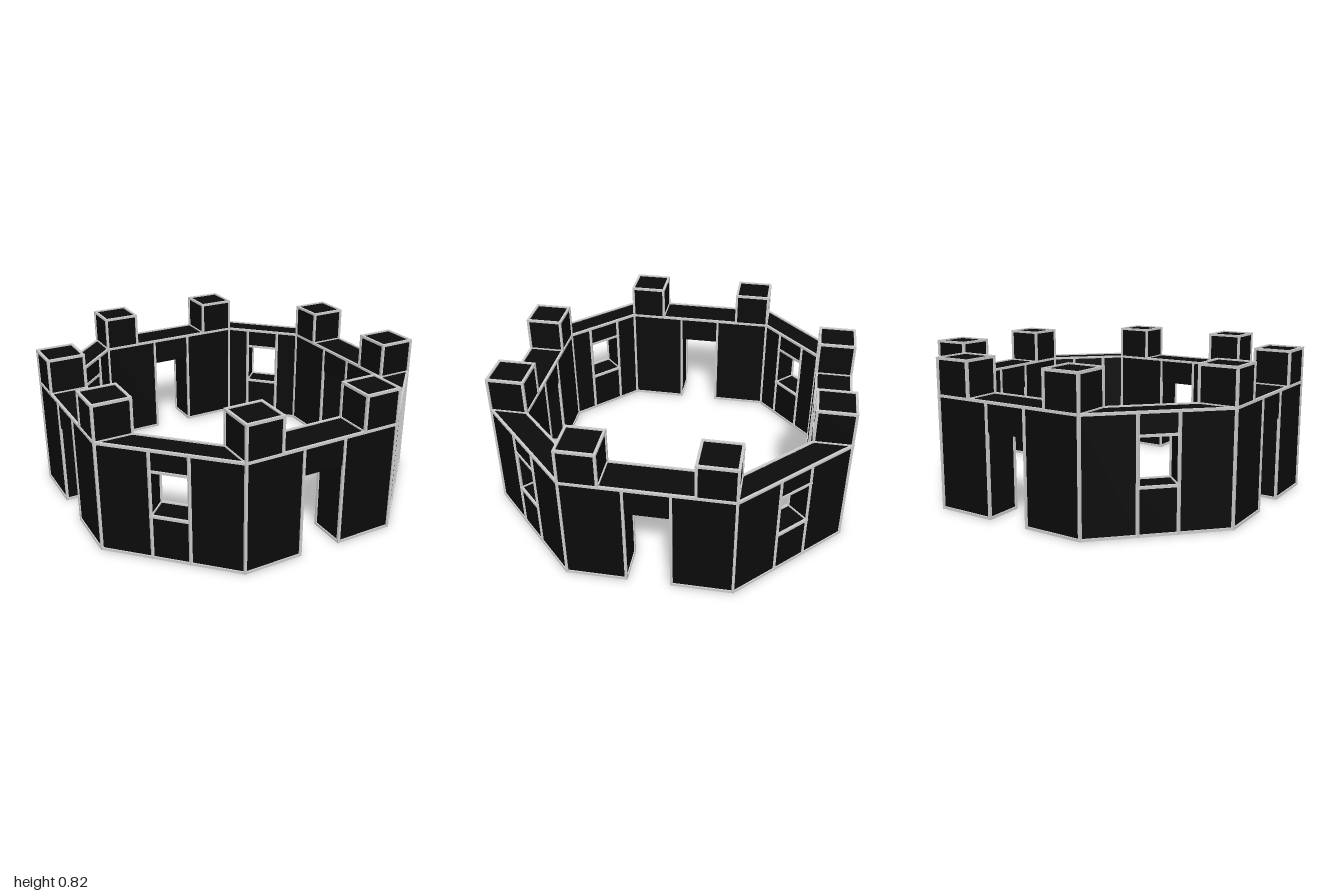
import * as THREE from 'three';
import { mergeGeometries } from 'three/addons/utils/BufferGeometryUtils.js';

const OUT = 0.993, INN = 0.79, COR = 0.447; // outer face, inner face, corner offset
const BASE = 0.007, TOP = 0.62, CROWN = 0.817;
const GATE = 0.122, GATE_TOP = 0.465;
const SILL = 0.25, HEAD = 0.506;
const BAR = 0.014;

const black = new THREE.MeshStandardMaterial({ color: 0x0b0b0b });
const grey = new THREE.MeshStandardMaterial({ color: 0xcccccc });

// upright block over a footprint of [x, z] corners
function block(name, foot, y0, y1) {
  const shape = new THREE.Shape(foot.map(([x, z]) => new THREE.Vector2(x, -z)));
  const geo = new THREE.ExtrudeGeometry(shape, { depth: y1 - y0, bevelEnabled: false });
  geo.rotateX(-Math.PI / 2).translate(0, y0, 0);
  const mesh = new THREE.Mesh(geo, black);
  mesh.name = name;
  return mesh;
}

// thin square bar between [x, z] at height ya and [x, z] at height yb
function bar(p, ya, q, yb) {
  const a = new THREE.Vector3(p[0], ya, p[1]), b = new THREE.Vector3(q[0], yb, q[1]);
  const o = new THREE.Object3D();
  o.position.copy(a).lerp(b, 0.5);
  o.lookAt(b);
  o.updateMatrix();
  return new THREE.BoxGeometry(BAR, BAR, a.distanceTo(b) + BAR).applyMatrix4(o.matrix);
}

function trim(name, bars) {
  const mesh = new THREE.Mesh(mergeGeometries(bars), grey);
  mesh.name = name;
  return mesh;
}

// wall with an opening; outer and inner each hold four points along the wall
function wall(name, outer, inner, openBottom, openTop) {
  const group = new THREE.Group();
  group.name = name;
  const foot = (i) => [outer[i], outer[i + 1], inner[i + 1], inner[i]];
  group.add(block('leftPier', foot(0), BASE, TOP), block('rightPier', foot(2), BASE, TOP));
  group.add(block('lintel', foot(1), openTop, TOP));
  const isWindow = openBottom > BASE;
  if (isWindow) group.add(block('sillWall', foot(1), BASE, openBottom));

  const bars = [];
  for (const side of [outer, inner]) {
    side.forEach((p) => bars.push(bar(p, BASE, p, TOP)));
    bars.push(bar(side[0], TOP, side[3], TOP));
    bars.push(bar(side[0], BASE, side[1], BASE), bar(side[2], BASE, side[3], BASE));
    if (isWindow) {
      bars.push(bar(side[1], BASE, side[2], BASE));
      for (const y of [openBottom, openTop]) bars.push(bar(side[1], y, side[2], y));
    }
  }
  // bars through the wall thickness
  for (let i = 0; i < 4; i++) bars.push(bar(outer[i], BASE, inner[i], BASE));
  for (const i of [0, 3]) bars.push(bar(outer[i], TOP, inner[i], TOP));
  if (isWindow) for (const i of [1, 2]) {
    for (const y of [openBottom, openTop]) bars.push(bar(outer[i], y, inner[i], y));
  }
  group.add(trim('edgeTrim', bars));
  return group;
}

// cube standing on the wall top
function merlon(name, x0, x1) {
  const group = new THREE.Group();
  group.name = name;
  const foot = [[x0, OUT], [x1, OUT], [x1, INN], [x0, INN]];
  group.add(block('cube', foot, TOP, CROWN));
  const bars = [];
  foot.forEach((p, i) => {
    const q = foot[(i + 1) % 4];
    bars.push(bar(p, TOP, p, CROWN), bar(p, TOP, q, TOP), bar(p, CROWN, q, CROWN));
  });
  group.add(trim('cubeTrim', bars));
  return group;
}

export function createModel() {
  const model = new THREE.Group();
  model.name = 'octagonalFort';

  const straight = (z) => [-COR, -GATE, GATE, COR].map((x) => [x, z]);

  // diagonal wall: window jambs run square to its faces
  const mid = (OUT + COR) / 2, half = 0.073;
  const shift = (OUT - INN) / 2;
  const jambs = [mid - half, mid + half];
  const outerDiag = [[COR, OUT], ...jambs.map((x) => [x, 2 * mid - x]), [OUT, COR]];
  const innerDiag = [[COR, INN], ...jambs.map((x) => [x - shift, 2 * mid - x - shift]), [INN, COR]];

  // one gate side and one window corner, repeated around the ring
  for (let i = 0; i < 4; i++) {
    const quarter = new THREE.Group();
    quarter.name = 'quarter' + (i + 1);
    quarter.add(wall('gateWall', straight(OUT), straight(INN), BASE, GATE_TOP));
    quarter.add(wall('windowWall', outerDiag, innerDiag, SILL, HEAD));
    quarter.add(merlon('leftMerlon', 0.245, COR), merlon('rightMerlon', -COR, -0.245));
    quarter.rotation.y = (i * Math.PI) / 2;
    model.add(quarter);
  }
  return model;
}
